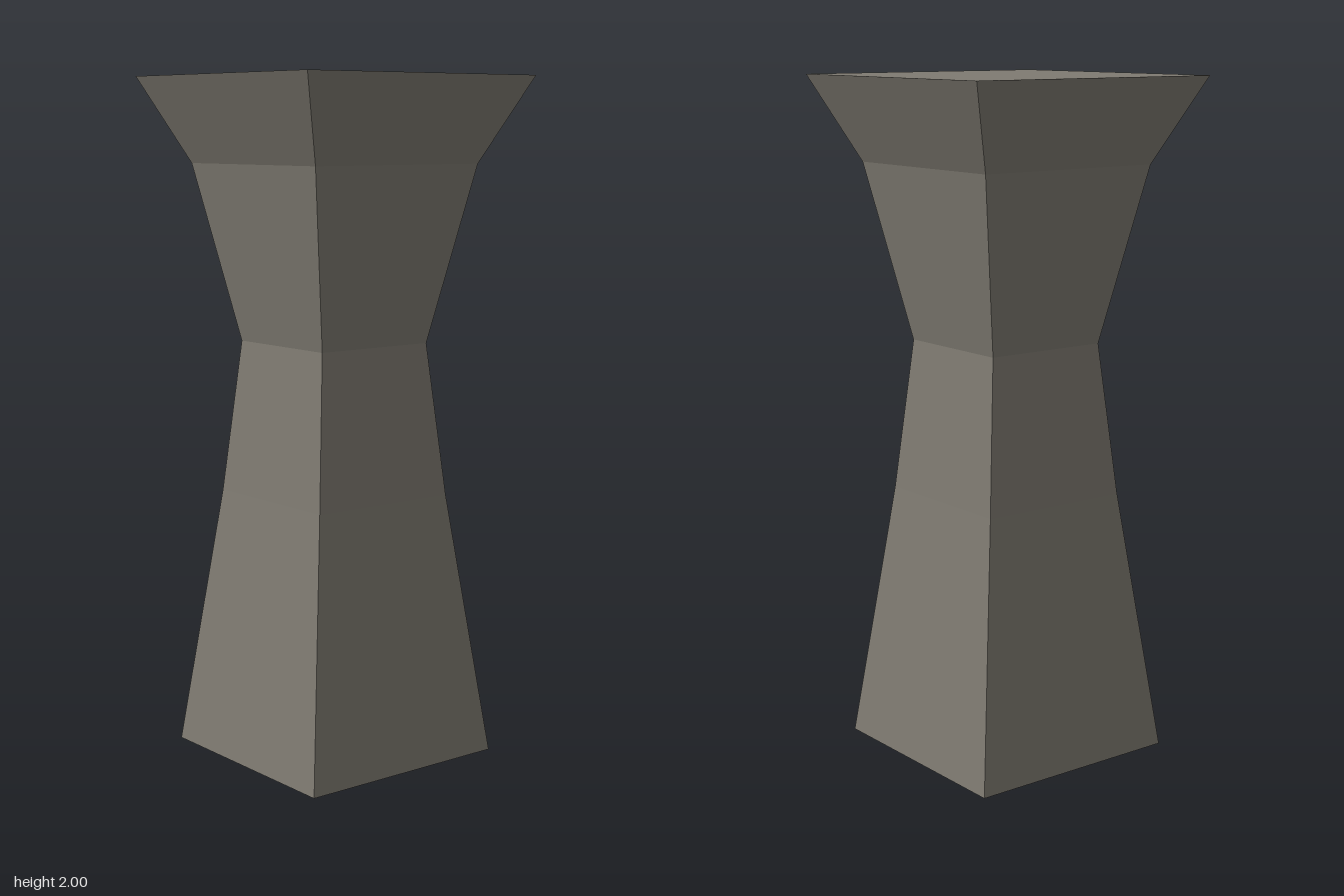
import * as THREE from 'three';

// Half-width of the square column at each height, bottom to top
const PROFILE = [
  [0.333, 0],
  [0.236, 0.78],
  [0.193, 1.23],
  [0.295, 1.75],
  [0.41, 2],
];

export function createModel() {
  const group = new THREE.Group();
  group.name = 'pedestal';

  const stone = new THREE.MeshStandardMaterial({ color: 0x7f7b72 });
  stone.name = 'grey stone';

  // Four-sided lathe, closed on the axis at both ends
  const points = [
    new THREE.Vector2(0, 0),
    ...PROFILE.map(([half, y]) => new THREE.Vector2(half * Math.SQRT2, y)),
    new THREE.Vector2(0, 2),
  ];
  const geometry = new THREE.LatheGeometry(points, 4, Math.PI / 4).toNonIndexed();
  geometry.computeVertexNormals(); // flat faces

  const column = new THREE.Mesh(geometry, stone);
  column.name = 'column';
  group.add(column);
  return group;
}
